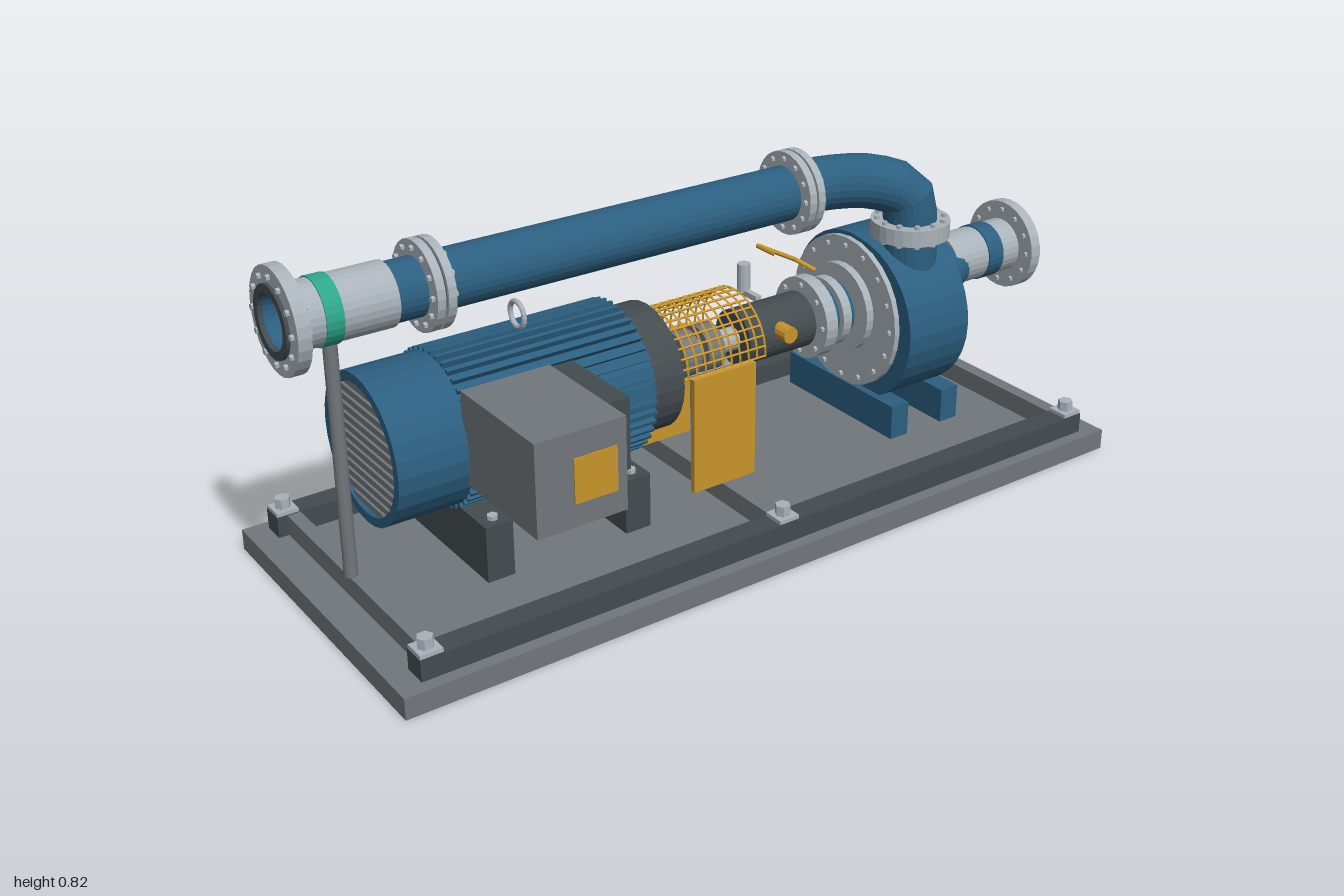
import * as THREE from 'three';

const paint = (name, color) => {
  const m = new THREE.MeshStandardMaterial({ color });
  m.name = name;
  return m;
};

export function createModel() {
  const blue = paint('blue paint', 0x2c5f80);
  const light = paint('light steel', 0xaab3ba);
  const grey = paint('mid grey', 0x72777b);
  const dark = paint('dark iron', 0x444c50);
  const yellow = paint('safety yellow', 0xc9942b);
  const teal = paint('teal band', 0x2fa78b);
  const root = new THREE.Group();
  const X = -0.018, MY = 0.382, PY = 0.708, SY = 0.422;

  // Faceted mesh with one normal per face
  function add(name, geo, mat, x = 0, y = 0, z = 0, parent = root) {
    const g = geo.index ? geo.toNonIndexed() : geo;
    g.computeVertexNormals();
    const m = new THREE.Mesh(g, mat);
    m.name = name;
    m.position.set(x, y, z);
    parent.add(m);
    return m;
  }
  // Box given by its limits
  const box = (name, mat, x0, x1, y0, y1, z0, z1, parent) =>
    add(name, new THREE.BoxGeometry(x1 - x0, y1 - y0, z1 - z0), mat,
      (x0 + x1) / 2, (y0 + y1) / 2, (z0 + z1) / 2, parent);
  // Cylinder along z; r0 at z0, r1 at z1
  const zCyl = (name, mat, r0, z0, z1, x = X, y = MY, r1 = r0, n = 28, parent = root) =>
    add(name, new THREE.CylinderGeometry(r1, r0, z1 - z0, n).rotateX(Math.PI / 2), mat, x, y, (z0 + z1) / 2, parent);
  const yCyl = (name, mat, r, y0, y1, x, z, n = 12) =>
    add(name, new THREE.CylinderGeometry(r, r, y1 - y0, n), mat, x, (y0 + y1) / 2, z);
  // Hollow cylinder along z
  function ring(name, mat, ro, ri, z0, z1, x = X, y = MY, parent = root) {
    const p = [[ri, z0], [ro, z0], [ro, z1], [ri, z1], [ri, z0]].map(a => new THREE.Vector2(...a));
    return add(name, new THREE.LatheGeometry(p, 28).rotateX(Math.PI / 2), mat, x, y, 0, parent);
  }
  // Bolted flange with a ring of hexagonal bolts running through it
  function flange(name, ro, ri, z0, z1, x, y, bolts, rb, parent = root) {
    const g = new THREE.Group();
    g.name = name;
    parent.add(g);
    ring('flangeDisc', light, ro, ri, z0, z1, x, y, g);
    for (let i = 0; i < bolts; i++) {
      const a = (i / bolts) * Math.PI * 2;
      zCyl('flangeBolt', light, 0.007, z0 - 0.008, z1 + 0.008, x + rb * Math.cos(a), y + rb * Math.sin(a), 0.007, 6, g);
    }
    return g;
  }

  // Base slab, frame rails and anchor bolts
  box('baseSlab', grey, -0.41, 0.376, 0, 0.05, -0.965, 0.965);
  for (const x of [-0.355, 0.319]) {
    box('sideRail', dark, x - 0.028, x + 0.028, 0.05, 0.1, -0.912, 0.912);
    for (const z of [-0.885, 0, 0.885]) {
      box('anchorWasher', light, x - 0.026, x + 0.026, 0.1, 0.109, z - 0.026, z + 0.026);
      yCyl('anchorNut', light, 0.018, 0.109, 0.133, x, z, 6);
    }
  }
  for (const z of [-0.872, 0, 0.872]) box('crossRail', grey, -0.327, 0.291, 0.05, 0.099, z - 0.016, z + 0.016);

  // Motor: finned body, fan cowl, end bell and feet
  zCyl('motorBody', blue, 0.162, 0.215, 0.67);
  for (let i = 0; i < 44; i++) {
    const a = (i / 44) * Math.PI * 2;
    const fin = box('coolingFin', blue, -0.01, 0.01, -0.004, 0.004, 0.22, 0.668);
    fin.position.set(X + 0.166 * Math.cos(a), MY + 0.166 * Math.sin(a), 0.444);
    fin.rotation.z = a;
  }
  ring('fanCowl', blue, 0.168, 0.147, 0.668, 0.836);
  zCyl('fanBackplate', dark, 0.15, 0.66, 0.815);
  for (let i = -6; i <= 6; i++) {
    const h = Math.sqrt(0.148 ** 2 - (i * 0.022) ** 2);
    box('grilleSlat', grey, X - h, X + h, MY + i * 0.022 - 0.007, MY + i * 0.022 + 0.007, 0.812, 0.83);
  }
  zCyl('motorEndBell', dark, 0.148, 0.13, 0.217);
  for (const z of [0.632, 0.289]) {
    box('motorFoot', dark, -0.213, 0.178, 0.1, 0.23, z - 0.032, z + 0.032);
    for (const x of [-0.185, 0.15]) yCyl('footBolt', light, 0.012, 0.23, 0.24, x, z, 6);
  }
  add('liftingEye', new THREE.TorusGeometry(0.029, 0.006, 8, 20), light, X, 0.587, 0.457);

  // Slotted side plate
  box('sidePlate', light, -0.21, -0.18, 0.335, 0.43, 0.255, 0.525);
  for (let i = 0; i < 4; i++) box('plateSlot', blue, -0.214, -0.209, 0.348, 0.417, 0.283 + i * 0.06, 0.317 + i * 0.06);

  // Terminal box with cable neck and warning plate
  box('terminalBox', grey, 0.125, 0.41, 0.318, 0.527, 0.467, 0.676);
  box('terminalNeck', dark, 0.1, 0.315, 0.345, 0.508, 0.396, 0.467);
  box('warningPlate', yellow, 0.409, 0.413, 0.37, 0.47, 0.49, 0.59);

  // Shaft, coupling and mesh guard
  zCyl('shaft', light, 0.028, -0.12, 0.14, X, MY, 0.028, 16);
  zCyl('couplingHub', grey, 0.055, 0.015, 0.06);
  zCyl('couplingHub', grey, 0.055, -0.05, -0.005);
  for (let i = 0; i <= 10; i++)
    add('guardHoop', new THREE.TorusGeometry(0.122, 0.003, 4, 20, Math.PI), yellow, X, MY, -0.113 + i * 0.0238);
  for (let i = 0; i <= 16; i++) {
    const a = (i / 16) * Math.PI;
    zCyl('guardWire', yellow, 0.003, -0.114, 0.127, X + 0.122 * Math.cos(a), MY + 0.122 * Math.sin(a), 0.003, 4);
  }
  for (const s of [-1, 1]) box('guardSidePlate', yellow, X + s * 0.129 - 0.007, X + s * 0.129 + 0.007, 0.1, 0.382, -0.075, 0.096);

  // Bearing housing with sight glass, breather and flush line
  zCyl('bearingHousing', dark, 0.068, -0.305, -0.112);
  const sight = zCyl('sightGlass', yellow, 0.02, 0, 0.045, 0.06, 0.4, 0.02, 12);
  sight.position.z = -0.203;
  sight.rotation.y = Math.PI / 2;
  yCyl('breather', light, 0.016, 0.44, 0.51, -0.12, -0.218);
  box('breatherArm', light, -0.12, -0.06, 0.432, 0.446, -0.225, -0.21);
  const line = new THREE.CurvePath();
  const knots = [[-0.09, 0.525, -0.29], [-0.163, 0.525, -0.29], [-0.163, 0.46, -0.41], [-0.11, 0.43, -0.45]].map(p => new THREE.Vector3(...p));
  for (let i = 0; i < 3; i++) line.add(new THREE.LineCurve3(knots[i], knots[i + 1]));
  add('flushLine', new THREE.TubeGeometry(line, 24, 0.006, 8), yellow);

  // Stuffing box rings and casing cover
  flange('sealFlange', 0.1, 0.03, -0.345, -0.312, X, MY, 8, 0.084);
  zCyl('sealHousing', blue, 0.07, -0.42, -0.34);
  zCyl('sealCollar', light, 0.085, -0.4, -0.375);
  zCyl('coverHub', light, 0.11, -0.45, -0.425);
  flange('casingCover', 0.188, 0.06, -0.462, -0.445, X, 0.368, 16, 0.168);

  // Volute: a disc that swells towards the outlet side
  const pts = [];
  for (let i = 0; i < 36; i++) {
    const a = (i / 36) * Math.PI * 2, r = 0.2 + 0.028 * Math.max(0, Math.cos(a + 0.25));
    pts.push(new THREE.Vector2(r * Math.cos(a), r * Math.sin(a)));
  }
  add('volute', new THREE.ExtrudeGeometry(new THREE.Shape(pts), { depth: 0.183, bevelEnabled: false }), blue, X, 0.365, -0.642);
  zCyl('voluteBack', blue, 0.155, -0.675, -0.64, X, 0.368);
  yCyl('outletNeck', blue, 0.066, 0.38, 0.58, 0.085, -0.553, 24);
  for (const z of [-0.466, -0.625]) box('pumpFoot', blue, -0.212, 0.178, 0.1, 0.185, z - 0.026, z + 0.026);

  // Pressure gauge
  zCyl('gaugeDial', light, 0.034, -0.578, -0.556, -0.222, 0.622, 0.034, 24);
  yCyl('gaugeStem', yellow, 0.007, 0.55, 0.592, -0.222, -0.567, 8);

  // Suction: eccentric reducer sheared up to the inlet axis, then pipe and flange
  const cone = new THREE.CylinderGeometry(0.098, 0.062, 0.14, 28).rotateX(Math.PI / 2);
  const cp = cone.attributes.position;
  for (let i = 0; i < cp.count; i++) cp.setY(i, cp.getY(i) - cp.getZ(i) * 0.32);
  add('suctionReducer', cone, blue, X, 0.4, -0.742);
  ring('suctionPipe', light, 0.067, 0.058, -0.97, -0.755, X, SY);
  ring('suctionBand', blue, 0.07, 0.06, -0.908, -0.86, X, SY);
  flange('suctionFlange', 0.113, 0.06, -0.992, -0.963, X, SY, 12, 0.093);
  ring('suctionGasket', dark, 0.077, 0.058, -1.0, -0.99, X, SY);

  // Discharge line: long pipe, outlet spool, flanges and support post
  ring('dischargePipe', blue, 0.064, 0.058, -0.3, 0.99, X, PY);
  zCyl('pipeInnerEnd', blue, 0.06, 0.6, 0.61, X, PY);
  ring('outletSpool', light, 0.07, 0.06, 0.755, 0.965, X, PY);
  ring('tealBand', teal, 0.073, 0.06, 0.876, 0.914, X, PY);
  flange('outletFlange', 0.113, 0.06, 0.963, 0.992, X, PY, 12, 0.092);
  ring('outletGasket', dark, 0.077, 0.059, 0.99, 1.0, X, PY);
  for (const z of [0.667, -0.275]) {
    flange('jointFlange', 0.098, 0.06, z - 0.022, z - 0.003, X, PY, 12, 0.082);
    flange('jointFlange', 0.098, 0.06, z + 0.003, z + 0.022, X, PY, 12, 0.082);
    ring('jointGasket', dark, 0.09, 0.06, z - 0.004, z + 0.004, X, PY);
  }
  yCyl('supportPost', grey, 0.015, 0.1, 0.645, X, 0.882, 16);

  // Elbow down to the pump outlet, with its upright flange
  const bend = new THREE.CatmullRomCurve3([[X, PY, -0.28], [X, PY, -0.37], [0.04, PY, -0.47], [0.08, 0.675, -0.54], [0.085, 0.595, -0.553]]
    .map(p => new THREE.Vector3(...p)));
  add('elbow', new THREE.TubeGeometry(bend, 10, 0.064, 24), blue);
  const upright = flange('elbowFlange', 0.094, 0.06, -0.02, 0.02, 0, 0, 12, 0.08);
  upright.position.set(0.085, 0.594, -0.553);
  upright.rotation.x = Math.PI / 2;

  return root;
}
